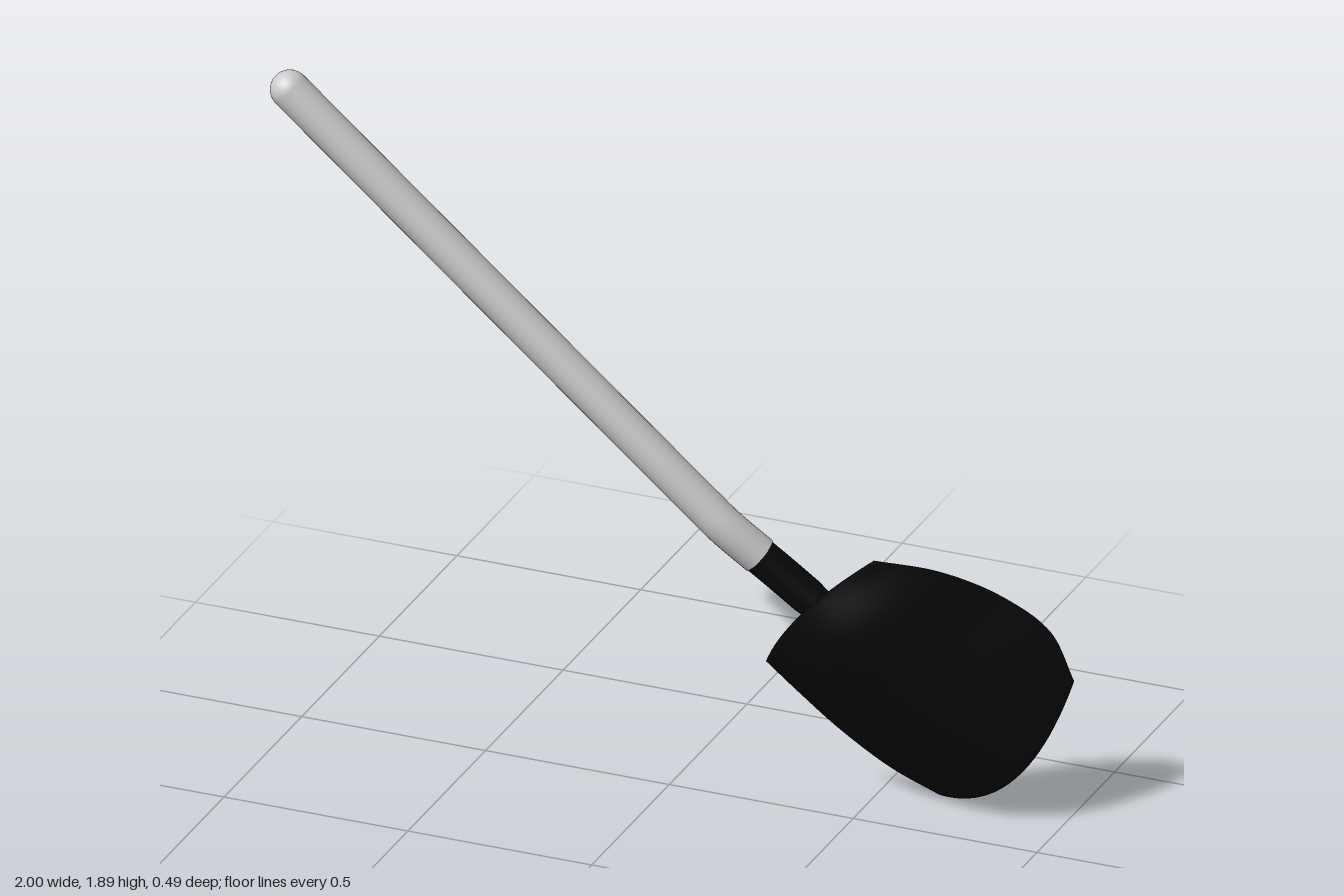
import * as THREE from 'three';
import { ParametricGeometry } from 'three/addons/geometries/ParametricGeometry.js';

const V = (x, y, z) => new THREE.Vector3(x, y, z);
const spline = (pts) => new THREE.CatmullRomCurve3(pts.map((p) => V(...p)));

// Tube whose rings are scaled by radiusAt(0..1)
function taperedTube(points, radiusAt, segs = 40, sides = 32) {
  const curve = spline(points);
  const geo = new THREE.TubeGeometry(curve, segs, 1, sides);
  const pos = geo.attributes.position;
  const p = V(0, 0, 0);
  for (let i = 0; i <= segs; i++) {
    const c = curve.getPointAt(i / segs);
    for (let j = 0; j <= sides; j++) {
      const k = i * (sides + 1) + j;
      p.fromBufferAttribute(pos, k).sub(c).multiplyScalar(radiusAt(i / segs)).add(c);
      pos.setXYZ(k, p.x, p.y, p.z);
    }
  }
  return geo;
}

// Arched blade: two side edges and a centre ridge, closed into a thin shell
function bladeGeometry() {
  const left = spline([[0.28, 0.415, 0.04], [0.33, 0.29, -0.06], [0.41, 0.165, -0.14], [0.52, 0.055, -0.2], [0.645, 0, -0.21]]);
  const ridge = spline([[0.405, 0.6, 0.1], [0.5, 0.51, 0.09], [0.62, 0.4, 0.03], [0.75, 0.27, -0.04], [0.89, 0.13, -0.12]]);
  const right = spline([[0.565, 0.74, 0.02], [0.7, 0.69, -0.08], [0.83, 0.6, -0.18], [0.94, 0.5, -0.23], [1, 0.37, -0.24]]);
  const normal = V(0.22, -0.21, 0.95).normalize();
  return new ParametricGeometry((s, v, out) => {
    const L = left.getPoint(s), C = ridge.getPoint(s), R = right.getPoint(s);
    const t = Math.cos(v * Math.PI * 2);
    const thick = 0.007 * Math.pow(Math.max(0, Math.sin(Math.PI * s)), 0.3);
    const half = R.clone().sub(L).multiplyScalar(0.5);
    const sag = R.clone().add(L).multiplyScalar(0.5).sub(C);
    out.copy(C).addScaledVector(half, t).addScaledVector(sag, t * t)
      .addScaledVector(normal, -thick * Math.sin(v * Math.PI * 2));
  }, 40, 64);
}

export function createModel() {
  const group = new THREE.Group();
  const grey = new THREE.MeshStandardMaterial({ color: 0xcccccc });
  const black = new THREE.MeshStandardMaterial({ color: 0x080808 });
  const add = (name, geo, mat) => {
    const mesh = new THREE.Mesh(geo, mat);
    mesh.name = name;
    group.add(mesh);
    return mesh;
  };

  // Long handle with a slight bend near the blade
  add('handle', taperedTube([[-0.95, 1.845, 0.195], [-0.38, 1.322, 0.146], [0.14, 0.845, 0.1],
    [0.19, 0.799, 0.094], [0.275, 0.722, 0.07]], () => 0.05, 80), grey);
  add('handleEnd', new THREE.SphereGeometry(0.05, 32, 20), grey).position.set(-0.95, 1.845, 0.195);

  // Socket entering the handle and tapering out along the back of the blade
  add('socket', taperedTube([[0.24, 0.754, 0.082], [0.34, 0.662, 0.05], [0.44, 0.57, 0.025], [0.55, 0.468, 0.015], [0.67, 0.356, -0.005]],
    (u) => (u < 0.35 ? 0.047 : 0.003 + 0.044 * Math.pow(1 - (u - 0.35) / 0.65, 0.8))), black);

  // Shovel blade
  const blade = add('blade', bladeGeometry(), black);
  blade.material = black.clone();
  blade.material.side = THREE.DoubleSide;

  return group;
}
